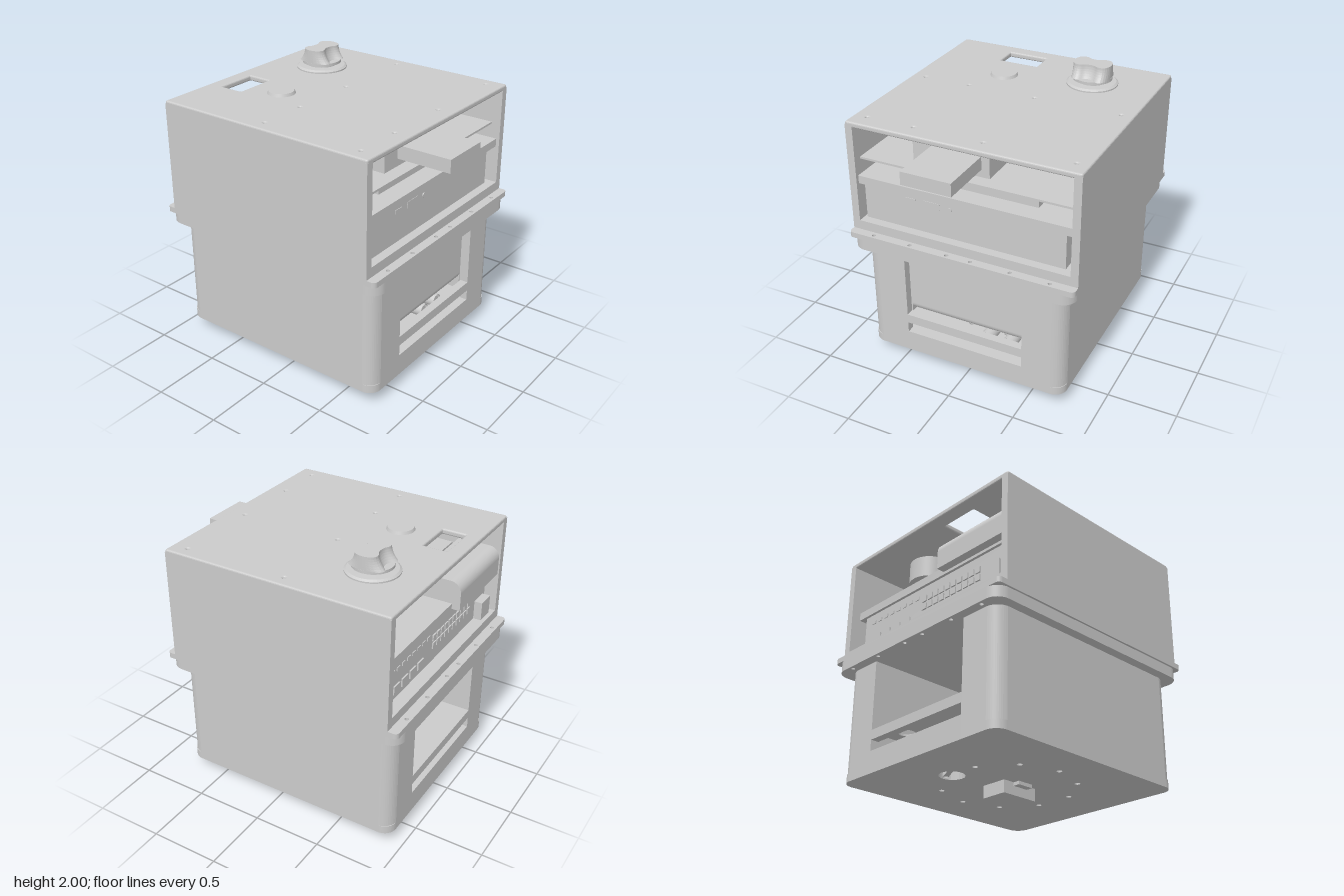
import * as THREE from 'three';

const grey = new THREE.MeshStandardMaterial({ color: 0xcccccc, side: THREE.DoubleSide });
const CX = -0.0825; // centre of the housing in x

// plan outline (shape y = -z) with rounded corners
function roundRect(x0, x1, z0, z1, r, path = new THREE.Shape()) {
  path.moveTo(x0 + r, z0);
  path.lineTo(x1 - r, z0);
  path.absarc(x1 - r, z0 + r, r, -Math.PI / 2, 0, false);
  path.absarc(x1 - r, z1 - r, r, 0, Math.PI / 2, false);
  path.absarc(x0 + r, z1 - r, r, Math.PI / 2, Math.PI, false);
  path.absarc(x0 + r, z0 + r, r, Math.PI, Math.PI * 1.5, false);
  return path;
}

function circleHole(shape, x, z, r) {
  shape.holes.push(new THREE.Path().absarc(x, -z, r, 0, Math.PI * 2, true));
}

function rectHole(shape, x0, x1, z0, z1) {
  shape.holes.push(roundRect(x0, x1, -z1, -z0, 0.005, new THREE.Path()));
}

// plan outline raised from y0 to y1
function slab(shape, y0, y1, bevel = 0) {
  const g = new THREE.ExtrudeGeometry(shape, {
    depth: y1 - y0 - 2 * bevel, bevelEnabled: bevel > 0, bevelSize: bevel,
    bevelThickness: bevel, bevelOffset: -bevel, bevelSegments: 3, curveSegments: 10,
  });
  return g.rotateX(-Math.PI / 2).translate(0, y0 + bevel, 0);
}

export function createModel() {
  const model = new THREE.Group();
  const add = (name, geometry) => {
    const m = new THREE.Mesh(geometry, grey);
    m.name = name;
    model.add(m);
    return m;
  };
  const box = (name, x0, x1, y0, y1, z0, z1) => add(name,
    new THREE.BoxGeometry(x1 - x0, y1 - y0, z1 - z0).translate((x0 + x1) / 2, (y0 + y1) / 2, (z0 + z1) / 2));
  const cyl = (name, x, z, r, y0, y1, rTop = r) => add(name,
    new THREE.CylinderGeometry(rTop, r, y1 - y0, 40).translate(x, (y0 + y1) / 2, z));

  // lower housing: two C-shaped walls leave the side openings free
  const L = -0.93, R = 0.765, Z = 0.76, W = 0.06, r = 0.09;
  for (const s of [1, -1]) {
    const c = new THREE.Shape();
    c.moveTo(L, s * 0.45);
    c.lineTo(L, s * (Z - r));
    c.quadraticCurveTo(L + 0.015, s * (Z - 0.015), L + r, s * Z);
    c.lineTo(R - r, s * Z);
    c.quadraticCurveTo(R - 0.015, s * (Z - 0.015), R, s * (Z - r));
    c.lineTo(R, s * 0.45);
    c.lineTo(R - W, s * 0.45);
    c.lineTo(R - W, s * (Z - W));
    c.lineTo(L + W, s * (Z - W));
    c.lineTo(L + W, s * 0.45);
    add('lowerWall', slab(c, 0.09, 0.91));
  }
  for (const x of [L, R - W]) {
    box('lowerSill', x, x + W, 0.09, 0.25, -0.45, 0.45);
    box('crossBar', x, x + W, 0.33, 0.4, -0.45, 0.45);
  }

  // bottom plate with a ring of screw holes and a cable hole
  const bottom = roundRect(L, R, -Z, Z, r);
  for (let i = 0; i < 10; i++) {
    const a = (i + 0.5) / 10 * Math.PI * 2;
    circleHole(bottom, CX + 0.47 * Math.cos(a), 0.47 * Math.sin(a), 0.02);
  }
  circleHole(bottom, -0.52, -0.09, 0.09);
  add('bottomPlate', slab(bottom, 0.09, 0.15));
  box('bottomBlock', -0.225, 0.07, 0, 0.09, -0.1, 0.1);
  box('bottomBracket', -0.135, -0.01, 0.065, 0.09, -0.15, 0.15);

  // air duct: floor curving up into a back panel
  const floor = roundRect(L + W, 0.64, -0.45, 0.45, 0.005);
  rectHole(floor, -0.6, -0.3, -0.2, 0.25);
  circleHole(floor, -0.75, -0.3, 0.06);
  add('ductFloor', slab(floor, 0.385, 0.4));
  const bend = new THREE.Shape();
  bend.moveTo(0.63, 0.4);
  bend.absarc(0.63, 0.46, 0.06, -Math.PI / 2, 0, false);
  bend.lineTo(0.69, 0.91);
  bend.lineTo(0.675, 0.91);
  bend.lineTo(0.675, 0.46);
  bend.absarc(0.63, 0.46, 0.045, 0, -Math.PI / 2, true);
  add('ductPanel', new THREE.ExtrudeGeometry(bend, { depth: 0.9, bevelEnabled: false }).translate(0, 0, -0.45));
  for (const z of [-0.46, 0.45]) box('ductSide', L + W, 0.69, 0.385, 0.91, z, z + 0.01);

  // round sockets behind the lower slot
  for (const z of [-0.105, -0.275]) {
    const socket = add('socket', new THREE.CylinderGeometry(0.05, 0.05, 0.12, 24, 1, true));
    socket.rotation.z = Math.PI / 2;
    socket.position.set(0.55, 0.27, z);
    const core = add('socketCore', new THREE.CylinderGeometry(0.035, 0.035, 0.1, 20));
    core.rotation.z = Math.PI / 2;
    core.position.copy(socket.position);
  }

  // joining flanges with through holes
  for (const [y0, y1, z, rad] of [[0.91, 0.99, 0.83, 0.1], [0.99, 1.03, 0.845, 0.03]]) {
    const f = roundRect(-1, 0.83, -z, z, rad);
    for (const x of [-0.97, 0.8])
      for (const hz of [-0.665, -0.38, -0.09, 0.09, 0.375, 0.66]) circleHole(f, x, hz, 0.014);
    add('flange', slab(f, y0, y1));
  }

  // upper housing: front and back walls, open sides, lid
  box('upperFloor', L, R, 1.03, 1.1, -0.79, 0.79);
  for (const z of [-0.845, 0.79]) box('upperWall', L, R, 1.03, 1.825, z, z + 0.055);
  const lid = roundRect(L, R, -0.845, 0.845, 0.015);
  rectHole(lid, -0.82, -0.645, 0.105, 0.4);
  const screws = [];
  for (const x of [-0.12, 0.645]) for (const z of [-0.755, -0.12, 0.39, 0.745]) screws.push([x, z]);
  screws.forEach(([x, z]) => circleHole(lid, x, z, 0.01));
  add('lid', slab(lid, 1.805, 1.845, 0.012));
  screws.forEach(([x, z]) => cyl('screw', x, z, 0.01, 1.81, 1.834));
  box('lidPlate', -0.25, 0.7, 1.785, 1.806, -0.66, 0.66);

  // push button
  cyl('button', -0.4, 0.25, 0.1, 1.845, 1.866, 0.092);

  // rotary switch: collar, flared grip, body and terminals
  const kx = -0.54, kz = -0.38;
  const collar = [[0.185, 1.845], [0.185, 1.855], [0.17, 1.866], [0.11, 1.868], [0.11, 1.885], [0.142, 1.885], [0.142, 1.905], [0, 1.905]];
  add('switchCollar', new THREE.LatheGeometry(collar.map(p => new THREE.Vector2(...p)), 48).toNonIndexed().translate(kx, 0, kz))
    .geometry.computeVertexNormals();
  const grip = new THREE.Shape();
  grip.moveTo(0.055, 0);
  grip.bezierCurveTo(0.055, 0.05, 0.08, 0.05, 0.08, 0.085);
  grip.bezierCurveTo(0.075, 0.158, -0.075, 0.158, -0.08, 0.085);
  grip.bezierCurveTo(-0.08, 0.05, -0.055, 0.05, -0.055, 0);
  grip.bezierCurveTo(-0.055, -0.05, -0.08, -0.05, -0.08, -0.085);
  grip.bezierCurveTo(-0.075, -0.158, 0.075, -0.158, 0.08, -0.085);
  grip.bezierCurveTo(0.08, -0.05, 0.055, -0.05, 0.055, 0);
  const gg = new THREE.ExtrudeGeometry(grip, { depth: 0.095, steps: 6, bevelEnabled: false, curveSegments: 12 })
    .rotateX(-Math.PI / 2);
  const p = gg.attributes.position;
  for (let i = 0; i < p.count; i++) {
    const t = 1 - p.getY(i) / 0.095; // grip widens towards its foot
    p.setX(i, p.getX(i) * (1 + 0.6 * t * t));
  }
  gg.computeVertexNormals();
  add('switchGrip', gg.translate(kx, 1.905, kz));
  cyl('switchBody', kx, kz, 0.155, 1.64, 1.81);
  box('switchTerminal', kx - 0.06, kx + 0.06, 1.565, 1.64, -0.34, -0.24);
  box('switchTerminal', kx - 0.06, kx + 0.06, 1.565, 1.64, -0.53, -0.42);
  box('switchPin', kx - 0.02, kx + 0.02, 1.565, 1.64, -0.39, -0.37);

  // side tab and its holder
  box('tabHolder', 0.1, 0.6, 1.565, 1.79, -0.14, 0.43);
  box('sideTab', 0.55, 1, 1.62, 1.715, -0.08, 0.285);

  // shelves and inner equipment
  box('upperShelf', -0.55, 0.7, 1.55, 1.565, -0.78, 0.79);
  box('innerUnit', -0.5, 0.6, 1.44, 1.55, -0.49, 0.49);
  box('innerUnit', -0.5, 0.45, 1.44, 1.55, 0.49, 0.79);
  box('lowerShelf', -0.86, 0.74, 1.38, 1.44, -0.79, 0.79);

  // port cover with a rounded outer edge, beneath the lid slot
  const cover = new THREE.Shape();
  cover.moveTo(-0.92, 1.4);
  cover.lineTo(-0.6, 1.4);
  cover.lineTo(-0.6, 1.61);
  cover.lineTo(-0.84, 1.61);
  cover.absarc(-0.84, 1.53, 0.08, Math.PI / 2, Math.PI, false);
  add('portCover', new THREE.ExtrudeGeometry(cover, { depth: 0.635, bevelEnabled: false }).translate(0, 0, 0.155));

  // rack device with ports on both sides
  box('device', -0.84, 0.7, 1.1, 1.38, -0.73, 0.77);
  box('devicePort', 0.7, 0.704, 1.312, 1.338, 0.37, 0.445);
  box('devicePort', 0.7, 0.704, 1.3, 1.345, 0.185, 0.305);
  add('deviceButton', new THREE.CylinderGeometry(0.016, 0.016, 0.01, 20).rotateZ(Math.PI / 2).translate(0.702, 1.322, 0.11));
  for (let i = 0; i < 4; i++) box('largePort', -0.85, -0.84, 1.14, 1.2, -0.62 + i * 0.11, -0.54 + i * 0.11);
  for (let i = 0; i < 10; i++)
    for (const y of [1.2, 1.26]) box('gridPort', -0.85, -0.84, y, y + 0.045, -0.08 + i * 0.06, -0.035 + i * 0.06);
  for (let i = 0; i < 8; i++) box('smallPort', -0.846, -0.84, 1.3, 1.325, -0.65 + i * 0.07, -0.61 + i * 0.07);
  box('powerPlug', -0.9, -0.84, 1.1, 1.24, 0.6, 0.74);

  return model;
}
